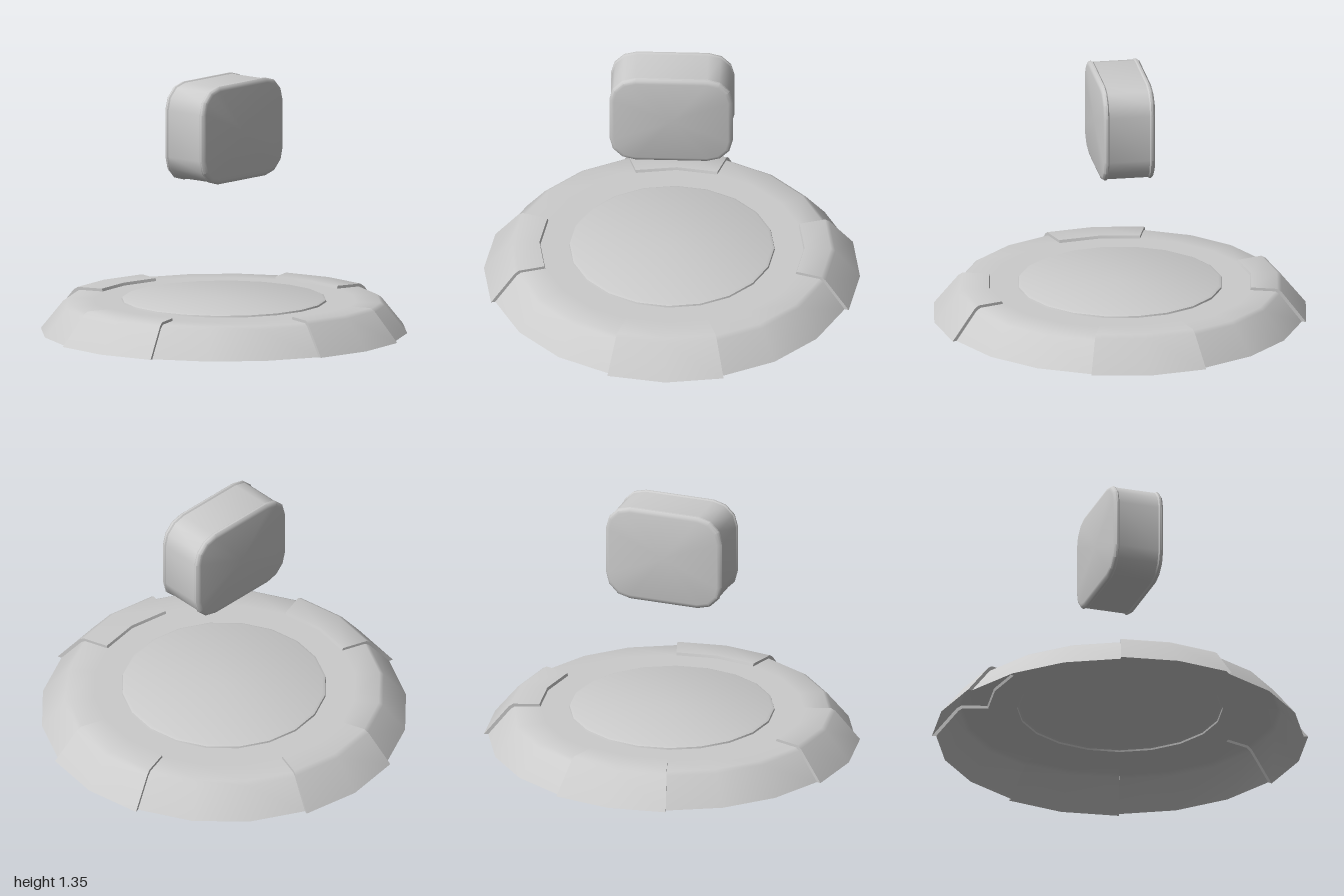
import * as THREE from 'three';
import { toCreasedNormals } from 'three/addons/utils/BufferGeometryUtils.js';

const STEP = Math.PI / 10; // the base is twenty-sided
const material = new THREE.MeshStandardMaterial({ color: 0xcccccc, side: THREE.DoubleSide });

function part(name, geometry) {
  const mesh = new THREE.Mesh(toCreasedNormals(geometry, 0.62), material);
  mesh.name = name;
  return mesh;
}

// Revolves an outside-to-inside profile over a number of twentieths of a turn
function sweep(profile, start, count) {
  const points = profile.map(([r, y]) => new THREE.Vector2(r, y));
  return new THREE.LatheGeometry(points, count, start * STEP, count * STEP);
}

// Quad mesh between successive rows of points; closed rows wrap around
function loft(rows, closed) {
  const n = rows[0].length;
  const index = [];
  for (let i = 0; i < rows.length - 1; i++) {
    for (let j = 0; j < (closed ? n : n - 1); j++) {
      const a = i * n + j, b = i * n + (j + 1) % n;
      index.push(a, a + n, b, b, a + n, b + n);
    }
  }
  const geometry = new THREE.BufferGeometry().setFromPoints(rows.flat());
  geometry.setIndex(index);
  return geometry;
}

// Rounded rectangle, shrunk by inset, at depth z
function outline(z, inset) {
  const w = 0.33, h = 0.265, r = 0.14, segments = 3;
  const points = [];
  for (let corner = 0; corner < 4; corner++) {
    const sx = corner === 0 || corner === 3 ? 1 : -1;
    const sy = corner < 2 ? 1 : -1;
    for (let i = 0; i <= segments; i++) {
      const a = (corner + i / segments) * Math.PI / 2;
      points.push(new THREE.Vector3(
        sx * (w - r) + Math.cos(a) * (r - inset),
        sy * (h - r) + Math.sin(a) * (r - inset), z));
    }
  }
  return points;
}

function createBlock() {
  // Beaded rim, slightly recessed waist, beaded rim
  const rim = [[0.14, 0.026], [0.136, 0.011], [0.126, 0.002], [0.116, 0.001], [0.109, 0.007]];
  const sections = [...rim, ...rim.map(([z, d]) => [-z, d]).reverse()];
  const rows = sections.map(([z, d]) => outline(z, d));
  const centre = z => rows[0].map(() => new THREE.Vector3(0, 0, z));
  const block = part('floatingBlock', loft([centre(0.14), ...rows, centre(-0.14)], true));
  block.position.y = 1.09;
  return block;
}

export function createModel() {
  const model = new THREE.Group();
  const base = new THREE.Group();
  base.name = 'base';
  model.add(base);

  // Raised centre disc and the flat ring around it, open underneath
  base.add(part('centreDisc', sweep(
    [[0.7, 0.163], [0.547, 0.163], [0.544, 0.172], [0.53, 0.178], [0, 0.178]], 0, 20)));

  const low = [[0.977, 0], [0.858, 0.148], [0.835, 0.163], [0.7, 0.163], [0.7, 0.163]];
  const high = [[1, 0], [0.869, 0.162], [0.845, 0.178], [0.705, 0.178], [0.7, 0.163]];

  for (let i = 0; i < 4; i++) {
    const quarter = new THREE.Group();
    quarter.name = 'rimQuarter';
    quarter.rotation.y = i * Math.PI / 2;

    // Raised panel over two sides, plain rim over the next three
    quarter.add(part('raisedPanel', sweep(high, -1, 2)));
    quarter.add(part('rim', sweep(low.slice(0, 4), 1, 3)));

    // Step walls at both ends of the panel
    for (const side of [-1, 1]) {
      const place = ([r, y]) => new THREE.Vector3(
        r * Math.sin(side * STEP), y, r * Math.cos(side * STEP));
      const rows = [low.map(place), high.map(place)];
      if (side > 0) rows.reverse();
      quarter.add(part('panelEdge', loft(rows, false)));
    }
    base.add(quarter);
  }

  model.add(createBlock());
  return model;
}
